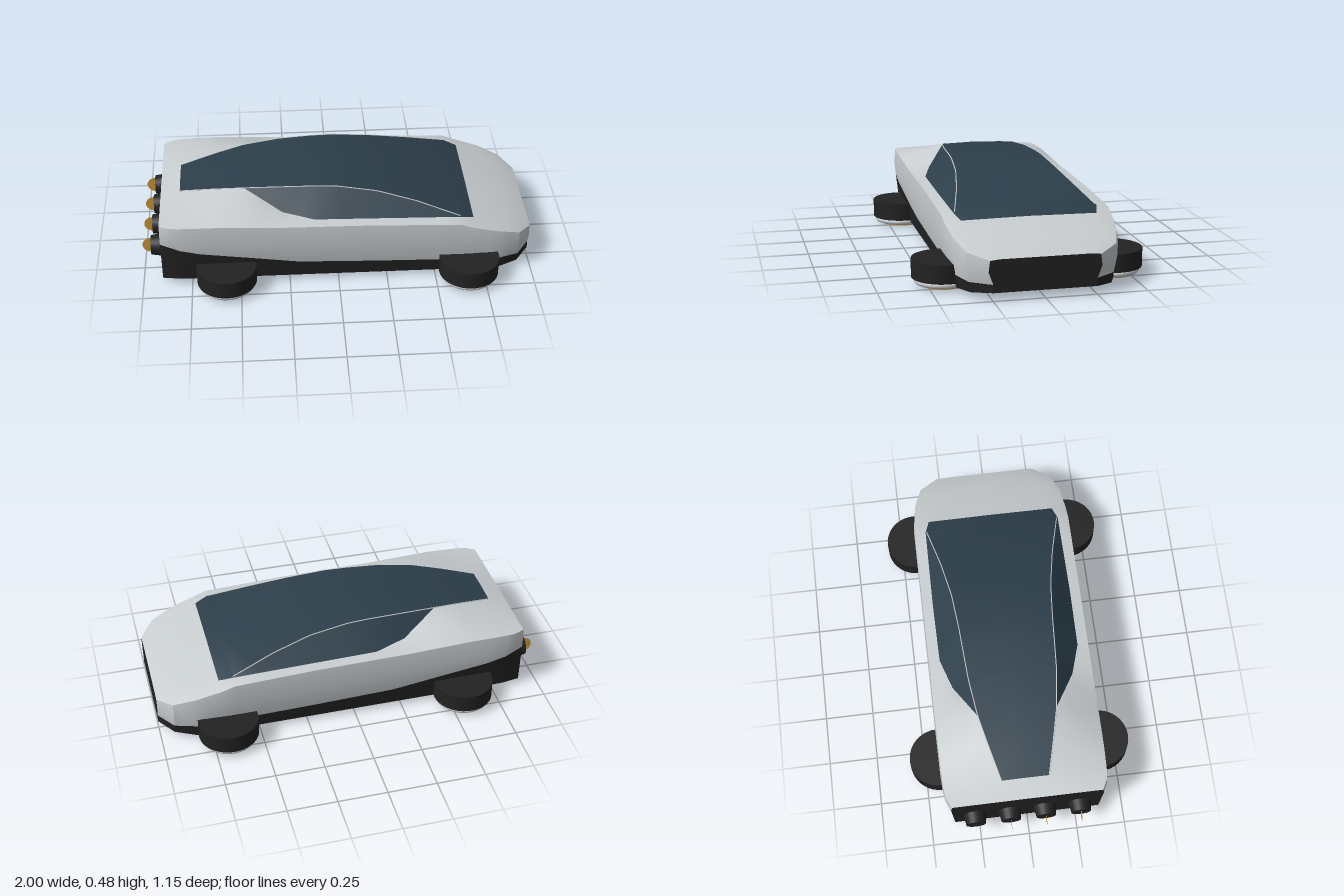
import * as THREE from 'three';
import { toCreasedNormals } from 'three/addons/utils/BufferGeometryUtils.js';

const mat = (name, color, side = THREE.FrontSide) => {
  const m = new THREE.MeshStandardMaterial({ color, side });
  m.name = name;
  return m;
};

// Lengthwise body lines on the +z side, as [x, y, z] keys from tail to nose
const floorEdge = [[-0.9, 0.03, 0.375], [-0.8, 0.03, 0.39], [0.82, 0.022, 0.385], [0.93, 0.03, 0.34], [1, 0.04, 0.25]];
const sillEdge = [[-0.9, 0.25, 0.385], [-0.8, 0.225, 0.412], [-0.7, 0.2, 0.412], [-0.47, 0.165, 0.408], [-0.2, 0.12, 0.4],
  [0.2, 0.105, 0.398], [0.62, 0.094, 0.396], [0.82, 0.085, 0.39], [0.93, 0.08, 0.35], [1, 0.08, 0.25]];
const flank = [[-0.9, 0.305, 0.387], [-0.85, 0.3, 0.41], [-0.78, 0.285, 0.422], [-0.47, 0.25, 0.424], [0, 0.23, 0.424],
  [0.69, 0.22, 0.422], [0.82, 0.19, 0.405], [0.93, 0.165, 0.367], [1, 0.14, 0.272]];
const shoulder = [[-0.9, 0.358, 0.38], [-0.85, 0.361, 0.405], [-0.78, 0.363, 0.415], [-0.62, 0.364, 0.416], [-0.28, 0.35, 0.416],
  [0.2, 0.343, 0.416], [0.62, 0.325, 0.416], [0.69, 0.3, 0.413], [0.82, 0.262, 0.398], [0.93, 0.222, 0.36], [1, 0.195, 0.265]];
const haunch = [[-0.9, 0.36, 0.26], [-0.8, 0.376, 0.27], [-0.62, 0.408, 0.27], [-0.47, 0.43, 0.265], [-0.28, 0.362, 0.36],
  [-0.12, 0.35, 0.385], [0.2, 0.346, 0.385], [0.62, 0.331, 0.385], [0.69, 0.308, 0.37], [0.82, 0.27, 0.35], [0.93, 0.23, 0.32], [1, 0.198, 0.24]];
const glassEdge = [[-0.9, 0.36, 0.13], [-0.8, 0.389, 0.12], [-0.62, 0.425, 0.165], [-0.47, 0.45, 0.2], [-0.28, 0.37, 0.31],
  [-0.12, 0.353, 0.36], [0.2, 0.348, 0.363], [0.62, 0.334, 0.358], [0.69, 0.312, 0.335], [0.82, 0.272, 0.3], [0.93, 0.233, 0.26], [1, 0.2, 0.21]];
const roofEdge = [[-0.9, 0.36, 0.115], [-0.8, 0.389, 0.12], [-0.62, 0.425, 0.165], [-0.47, 0.45, 0.2], [-0.28, 0.466, 0.225],
  [-0.12, 0.471, 0.235], [0, 0.47, 0.242], [0.2, 0.446, 0.26], [0.4, 0.401, 0.297], [0.62, 0.337, 0.352], [0.69, 0.312, 0.335],
  [0.82, 0.273, 0.29], [0.93, 0.234, 0.25], [1, 0.2, 0.2]];
const spine = [[-0.9, 0.362, 0], [-0.8, 0.392, 0], [-0.62, 0.43, 0], [-0.47, 0.453, 0], [-0.28, 0.473, 0], [-0.12, 0.48, 0],
  [0, 0.478, 0], [0.2, 0.458, 0], [0.4, 0.412, 0], [0.62, 0.345, 0], [0.69, 0.316, 0], [0.82, 0.276, 0], [0.93, 0.235, 0], [1, 0.2, 0]];

const stations = [-0.9, -0.85, -0.8, -0.7, -0.62, -0.47, -0.36, -0.28, -0.2, -0.12, 0, 0.1, 0.2, 0.3, 0.4, 0.5,
  0.62, 0.69, 0.76, 0.82, 0.88, 0.93, 1];

// Point on a body line at a given x
function at(line, x) {
  let i = 1;
  while (i < line.length - 1 && line[i][0] < x) i++;
  const [a, b] = [line[i - 1], line[i]];
  const t = (x - a[0]) / (b[0] - a[0]);
  return new THREE.Vector3(x, a[1] + (b[1] - a[1]) * t, a[2] + (b[2] - a[2]) * t);
}

const section = (x) => {
  const pts = [floorEdge, sillEdge, flank, shoulder, haunch, glassEdge, roofEdge, spine].map((l) => at(l, x));
  return [new THREE.Vector3(x, pts[0].y, 0), ...pts];
};

// Adds a triangle and its mirror image across z = 0
function tri(out, a, b, c) {
  const area = b.clone().sub(a).cross(c.clone().sub(a)).length();
  if (area < 1e-7) return;
  for (const p of [a, b, c]) out.push(p.x, p.y, p.z);
  for (const p of [a, c, b]) out.push(p.x, p.y, -p.z);
}

function addMesh(parent, name, geometry, material, x = 0, y = 0, z = 0) {
  const mesh = new THREE.Mesh(geometry, material);
  mesh.name = name;
  mesh.position.set(x, y, z);
  parent.add(mesh);
  return mesh;
}

export function createModel() {
  const silver = mat('silver paint', 0xc8cdd0);
  const black = mat('black trim', 0x222222);
  const glass = mat('tinted glass', 0x2c3e4a);
  const gold = mat('gold glow', 0xc8963c, THREE.DoubleSide);
  const model = new THREE.Group();
  model.name = 'hoverCar';

  // Body shell: skin between neighbouring sections, sorted by colour
  const skin = { bodyPanels: [], underbody: [], canopyGlass: [] };
  for (let i = 0; i < stations.length - 1; i++) {
    const x0 = stations[i];
    const [s, t] = [section(x0), section(stations[i + 1])];
    for (let j = 0; j < s.length - 1; j++) {
      const roofGlass = j === 7 && x0 >= -0.8 && x0 < 0.69;
      const sideGlass = j === 6 && x0 >= -0.47 && x0 < 0.69;
      const out = j < 2 ? skin.underbody : roofGlass || sideGlass ? skin.canopyGlass : skin.bodyPanels;
      tri(out, s[j], t[j], t[j + 1]);
      tri(out, s[j], t[j + 1], s[j + 1]);
    }
  }

  // Flat tail and nose panels
  const [tail, nose] = [section(-0.9), section(1)];
  for (let j = 1; j < tail.length - 1; j++) {
    tri(skin.underbody, tail[0], tail[j], tail[j + 1]);
    tri(skin.underbody, nose[0], nose[j + 1], nose[j]);
  }
  const paint = { bodyPanels: silver, underbody: black, canopyGlass: glass };
  for (const [name, positions] of Object.entries(skin)) {
    const g = new THREE.BufferGeometry();
    g.setAttribute('position', new THREE.Float32BufferAttribute(positions, 3));
    addMesh(model, name, toCreasedNormals(g, 0.5), paint[name]);
  }

  // Fine bright trim along both canopy creases
  for (const side of [1, -1]) {
    const path = new THREE.CurvePath();
    const pts = stations.filter((x) => x >= -0.8 && x <= 0.62).map((x) => {
      const p = at(roofEdge, x);
      p.z *= side;
      return p;
    });
    for (let i = 0; i < pts.length - 1; i++) path.add(new THREE.LineCurve3(pts[i], pts[i + 1]));
    addMesh(model, 'canopyTrim', new THREE.TubeGeometry(path, 48, 0.003, 6), silver);
  }

  // Hover pads: black drum, silver ring and gold emitter disc
  for (const x of [-0.572, 0.667]) {
    for (const z of [0.422, -0.422]) {
      const pad = new THREE.Group();
      pad.name = 'hoverPad';
      pad.position.set(x, 0, z);
      addMesh(pad, 'padDrum', new THREE.CylinderGeometry(0.152, 0.152, 0.092, 40), black, 0, 0.086, 0);
      addMesh(pad, 'padRing', new THREE.TorusGeometry(0.125, 0.016, 12, 40).rotateX(Math.PI / 2), silver, 0, 0.026, 0);
      addMesh(pad, 'padEmitter', new THREE.CylinderGeometry(0.106, 0.106, 0.04, 40), gold, 0, 0.02, 0);
      model.add(pad);
    }
  }

  // Rear thrusters: tapered nozzles, each with an upright glowing fin disc
  for (const z of [-0.27, -0.09, 0.09, 0.27]) {
    const nozzle = new THREE.CylinderGeometry(0.05, 0.06, 0.065, 24).rotateZ(Math.PI / 2);
    addMesh(model, 'thrusterNozzle', nozzle, black, -0.9225, 0.165, z);
    addMesh(model, 'thrusterGlow', new THREE.CircleGeometry(0.043, 28), gold, -0.957, 0.165, z);
  }
  return model;
}
